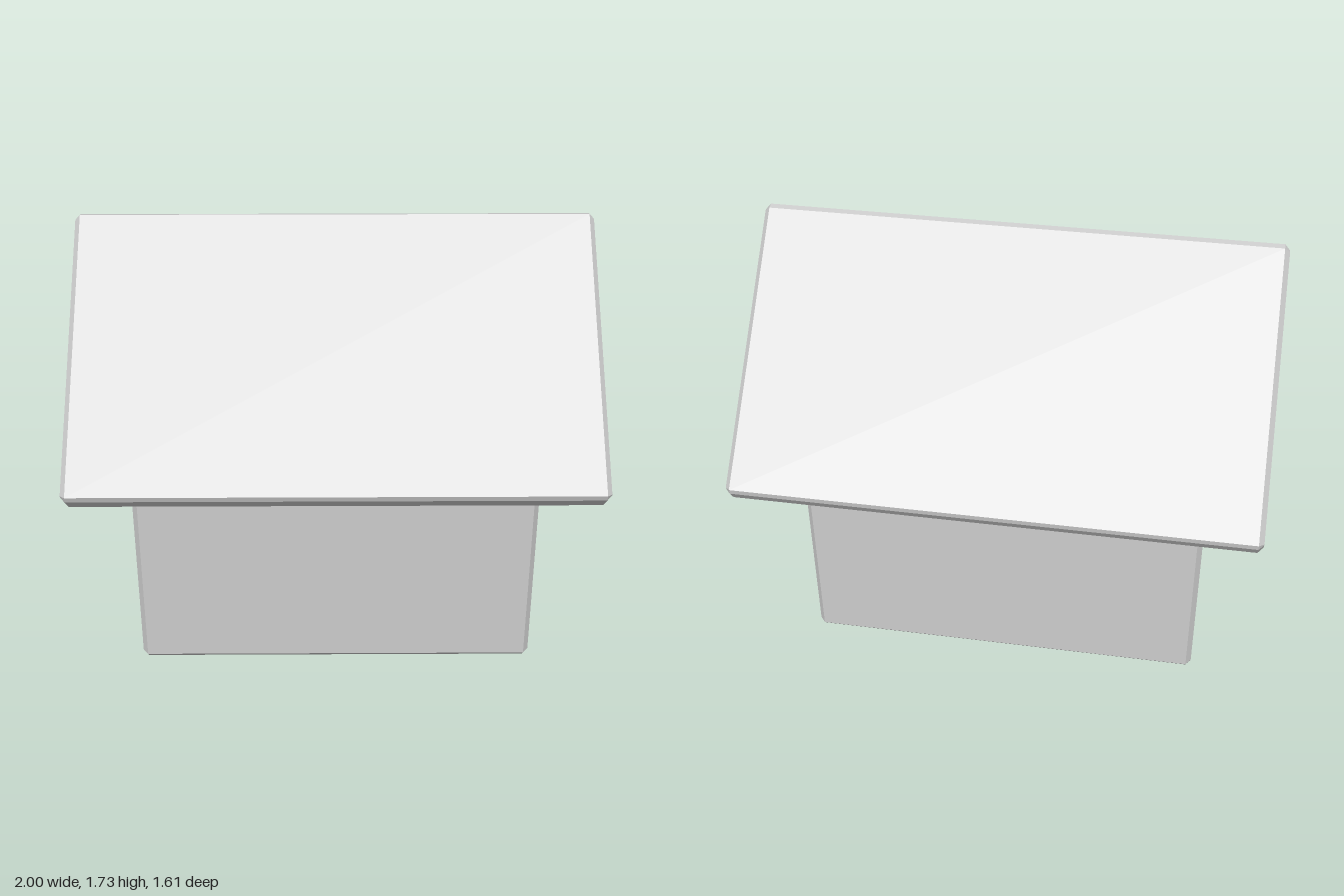
import * as THREE from 'three';

const material = new THREE.MeshStandardMaterial({ color: 0xcccccc, flatShading: true });

// Extrudes a [z, y] profile along x, with chamfered ends
function extrudeAlongX(name, profile, length, bevel) {
  const shape = new THREE.Shape(profile.map(([z, y]) => new THREE.Vector2(z, y)));
  const geometry = new THREE.ExtrudeGeometry(shape, {
    depth: length - 2 * bevel,
    bevelEnabled: true,
    bevelSegments: 1,
    bevelSize: bevel,
    bevelThickness: bevel,
    bevelOffset: -bevel,
  });
  geometry.translate(0, 0, bevel - length / 2);
  geometry.rotateY(-Math.PI / 2);
  const mesh = new THREE.Mesh(geometry, material);
  mesh.name = name;
  return mesh;
}

export function createModel() {
  const model = new THREE.Group();
  model.name = 'house';

  // Walls: chamfered base, small lip under the eaves, gable peak
  const walls = extrudeAlongX('walls', [
    [-0.51, 0], [0.49, 0], [0.515, 0.025],
    [0.515, 1.03], [0.53, 1.045],
    [-0.005, 1.575],
    [-0.545, 1.045], [-0.532, 1.03],
    [-0.532, 0.025],
  ], 1.575, 0.02);

  // Roof: two sloping slabs joined at the ridge, blunt chamfered eaves
  const roof = extrudeAlongX('roof', [
    [0.707, 0.873], [0.74, 0.873], [0.798, 0.928], [0.805, 0.95],
    [0.003, 1.732], [-0.02, 1.727],
    [-0.803, 0.962], [-0.8, 0.942], [-0.77, 0.9], [-0.737, 0.9],
    [-0.005, 1.588],
  ], 2, 0.02);

  model.add(walls, roof);
  return model;
}
